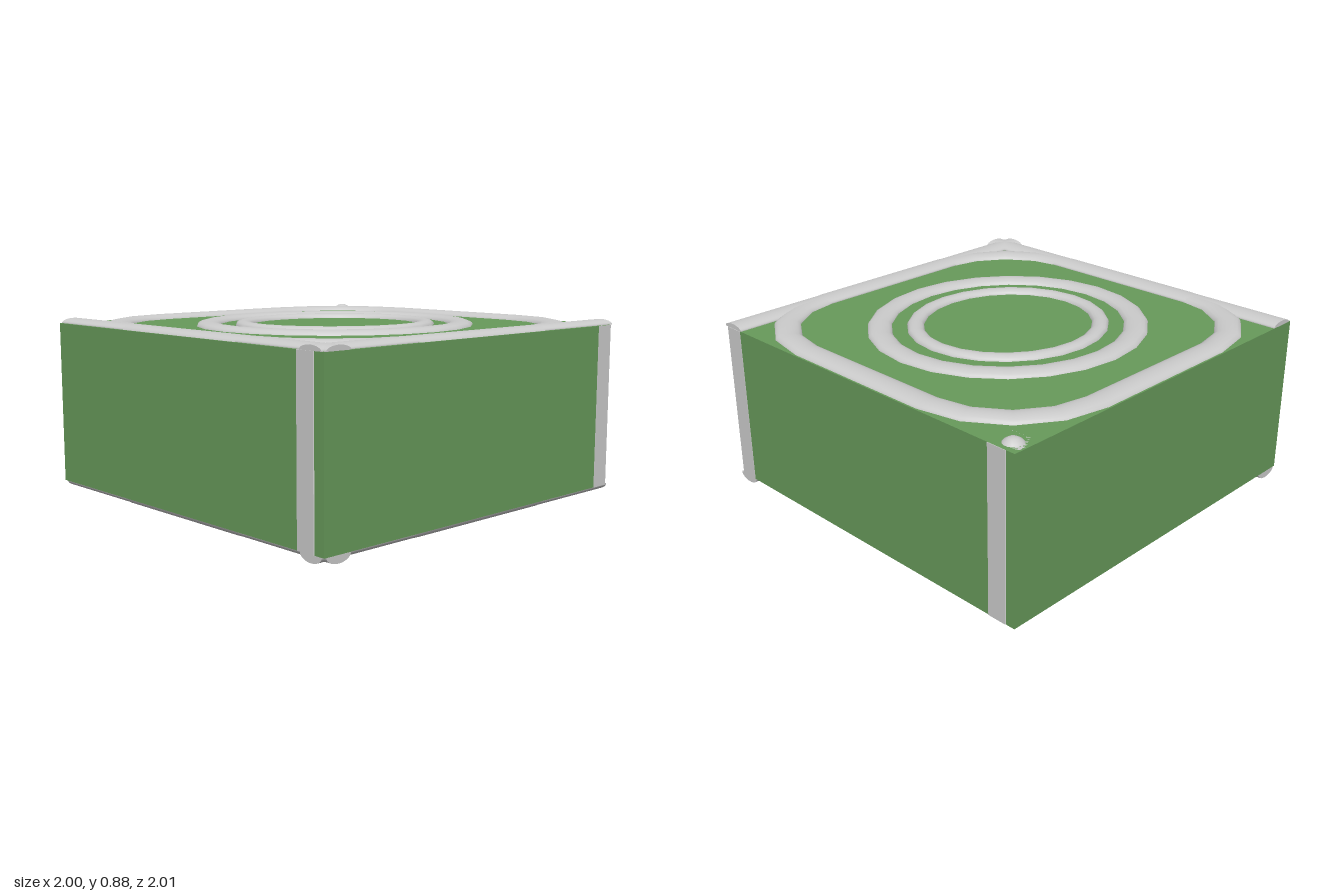
import * as THREE from 'three';

const TOP = 0.86, BOTTOM = 0.038;
const green = new THREE.MeshStandardMaterial({ color: 0x679a5a });
const grey = new THREE.MeshStandardMaterial({ color: 0xcccccc, side: THREE.DoubleSide });

// Extrude a plan outline (x, z) upward between two heights
function prism(points, y0, y1) {
  const shape = new THREE.Shape(points.map(([x, z]) => new THREE.Vector2(x, -z)));
  const geo = new THREE.ExtrudeGeometry(shape, { depth: y1 - y0, bevelEnabled: false });
  return geo.rotateX(-Math.PI / 2).translate(0, y0, 0);
}

// Raised half-round bead swept round a rounded square (straight = 0 gives a circle)
function beadRing(straight, radius, halfWidth, height, steps, stretch = 0) {
  const path = [];
  for (let q = 0; q < 4; q++) {
    const mid = (q + 0.5) * Math.PI / 2;
    const cx = Math.sign(Math.cos(mid)) * straight, cz = Math.sign(Math.sin(mid)) * straight;
    for (let i = 0; i < steps + (straight ? 1 : 0); i++) {
      const a = (q + i / steps) * Math.PI / 2;
      path.push([cx, cz, Math.cos(a), Math.sin(a)]);
    }
  }
  const pos = [], index = [], sides = 8, row = sides + 1;
  path.forEach(([cx, cz, nx, nz]) => {
    for (let j = 0; j <= sides; j++) {
      const b = j / sides * Math.PI, r = radius - Math.cos(b) * halfWidth;
      pos.push(cx + nx * r, Math.sin(b) * height - 0.002, cz + nz * (r + stretch));
    }
  });
  for (let i = 0; i < path.length; i++) {
    const n = (i + 1) % path.length;
    for (let j = 0; j < sides; j++) {
      const a = i * row + j, b = n * row + j;
      index.push(a, b, a + 1, b, b + 1, a + 1);
    }
  }
  const geo = new THREE.BufferGeometry();
  geo.setAttribute('position', new THREE.Float32BufferAttribute(pos, 3));
  geo.setIndex(index);
  geo.computeVertexNormals();
  return geo;
}

// Straight half-round bead along x, resting on y = 0
function beadBar(length, halfWidth, height) {
  const geo = new THREE.CylinderGeometry(1, 1, length, 16, 1, false, 0, Math.PI);
  return geo.rotateZ(Math.PI / 2).scale(1, height, halfWidth);
}

export function createModel() {
  const group = new THREE.Group();
  const add = (name, geo, mat, parent = group) => {
    const mesh = new THREE.Mesh(geo, mat);
    mesh.name = name;
    parent.add(mesh);
    return mesh;
  };

  // Main block, with one corner cut back for its post
  add('block', prism([[-1, 1], [1, 1], [1, -0.96], [0.96, -1], [-1, -1]], BOTTOM, TOP), green);

  // Raised beads on the top, mirrored on the underside
  const beads = [
    ['outerBead', beadRing(0.42, 0.505, 0.066, 1, 4)],
    ['middleRing', beadRing(0, 0.628, 0.06, 1, 6, 0.024)],
    ['innerRing', beadRing(0, 0.45, 0.042, 1, 6, 0.024)],
    ['frontEdgeBead', beadBar(2, 0.068, 1).translate(0, 0, 0.92)],
    ['sideEdgeBead', beadBar(2, 0.066, 1).rotateY(Math.PI / 2).translate(0.92, 0, 0)],
  ];
  for (const [name, y, height] of [['top', TOP, 0.024], ['bottom', BOTTOM, -0.036]]) {
    const face = new THREE.Group();
    face.name = name + 'Beads';
    face.position.y = y;
    face.scale.y = height;
    beads.forEach(([part, geo]) => add(part, geo, grey, face));
    group.add(face);
  }

  // Eight-sided corner posts; the offset sets which faces they break through
  const e = 0.003;
  const posts = [[0.91, 0.93 + e, 1, 1], [0.93 + e, -0.93 - e, 1, -1],
    [-0.92, -0.93 - e, -1, -1], [-0.925, 0.925, -1, 1]];
  for (const [x, z, sx, sz] of posts) {
    const outline = [];
    for (const [u, v] of [[0.07, -0.03], [0.07, 0.03], [0.03, 0.07], [-0.03, 0.07],
      [-0.07, 0.03], [-0.07, -0.03], [-0.03, -0.07], [0.03, -0.07]]) {
      // Widen the flats on the inner side of the corner
      const du = u * sx < 0 ? 1.1 : 1, dv = v * sz < 0 ? 1.1 : 1;
      const wu = Math.abs(v) > 0.05 && u * sx < 0 ? 0.07 * Math.sign(u) : u * du;
      const wv = Math.abs(u) > 0.05 && v * sz < 0 ? 0.07 * Math.sign(v) : v * dv;
      outline.push([x + wu, z + wv]);
    }
    add('cornerPost', prism(outline, BOTTOM, TOP), grey);

    // Rounded knobs at both ends of the post
    const kx = sx > 0 ? 0.93 : -0.925, kz = sz * 0.93;
    for (const y of [0.8, 0.085]) {
      add('cornerKnob', new THREE.SphereGeometry(1, 14, 10), grey).position.set(kx, y, kz);
      group.children[group.children.length - 1].scale.set(0.07, 0.084, 0.07);
    }
  }
  return group;
}
